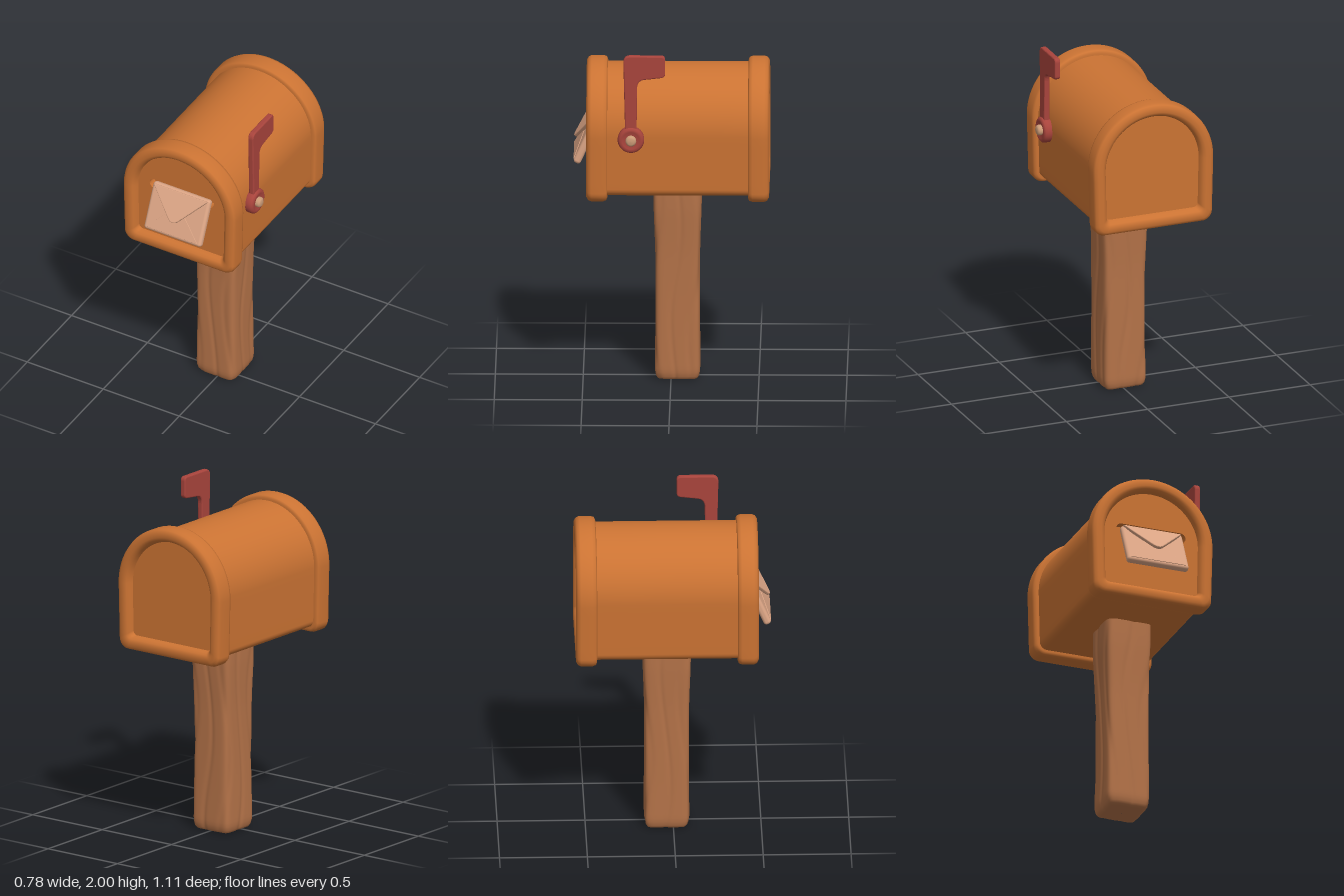
import * as THREE from 'three';
import { RoundedBoxGeometry } from 'three/addons/geometries/RoundedBoxGeometry.js';

const CX = -0.02; // centre line of the box
const ARCH_Y = 1.51; // height where the arch begins

const material = (name, color) => {
  const m = new THREE.MeshStandardMaterial({ color });
  m.name = name;
  return m;
};

function mesh(name, geometry, mat, parent) {
  const m = new THREE.Mesh(geometry, mat);
  m.name = name;
  parent.add(m);
  return m;
}

// Smooth skin through closed rings that all have the same number of points
function loft(rings) {
  const n = rings[0].length;
  const index = [];
  for (let i = 0; i < rings.length - 1; i++) {
    for (let j = 0; j < n; j++) {
      const k = (j + 1) % n;
      const a = i * n + j, b = i * n + k, c = (i + 1) * n + k, d = (i + 1) * n + j;
      index.push(a, b, c, a, c, d);
    }
  }
  const g = new THREE.BufferGeometry().setFromPoints(rings.flat());
  g.setIndex(index);
  g.computeVertexNormals();
  return g;
}

// Arched outline, anticlockwise, moved inward by an inset
function archOutline(inset) {
  const w = 0.37 - inset;
  const bottom = 1.12 + inset;
  const r = Math.max(0.06 - inset * 0.5, 0.025);
  const half = [];
  for (let i = 0; i <= 6; i++) half.push([(w - r) * i / 6.5, bottom]);
  for (let i = 0; i <= 8; i++) {
    const a = -Math.PI / 2 + i * Math.PI / 16;
    half.push([w - r + r * Math.cos(a), bottom + r + r * Math.sin(a)]);
  }
  for (let i = 1; i < 6; i++) half.push([w, bottom + r + (ARCH_Y - bottom - r) * i / 6]);
  for (let i = 0; i <= 20; i++) {
    const a = i * Math.PI / 40;
    half.push([w * Math.cos(a), ARCH_Y + w * Math.sin(a)]);
  }
  const mirrored = half.slice(1, -1).reverse().map(([x, y]) => [-x, y]);
  return [...half, ...mirrored].map(([x, y]) =>
    new THREE.Vector2(x * (1 - 0.07 * Math.max(0, ARCH_Y - y)), y));
}

const archRing = ([inset, z]) => archOutline(inset).map(p => new THREE.Vector3(p.x, p.y, z));

// Rounded end rim with its recessed panel, facing +z
function boxEnd(name, mat, withSlot) {
  const g = new THREE.Group();
  g.name = name;
  const profile = [
    [0.045, 0.362], [0.02, 0.36], [0.006, 0.367], [0, 0.385], [0, 0.452], [0.007, 0.469],
    [0.024, 0.48], [0.05, 0.48], [0.066, 0.473], [0.076, 0.458], [0.081, 0.442], [0.086, 0.425],
  ];
  mesh(name + 'Rim', loft(profile.map(archRing)), mat, g);
  const shape = new THREE.Shape(archOutline(0.08));
  if (withSlot) {
    const slot = new THREE.Path();
    slot.moveTo(-0.19, 1.52);
    slot.lineTo(0.19, 1.52);
    slot.absarc(0.18, 1.553, 0.032, -Math.PI / 2, Math.PI / 2, false);
    slot.lineTo(-0.18, 1.585);
    slot.absarc(-0.18, 1.553, 0.032, Math.PI / 2, Math.PI * 1.5, false);
    shape.holes.push(slot);
    const back = mesh('slotBack', new THREE.PlaneGeometry(0.5, 0.14), mat, g);
    back.position.set(0, 1.55, 0.385);
  }
  const panel = new THREE.ExtrudeGeometry(shape, { depth: 0.05, bevelEnabled: false });
  mesh(name + 'Panel', panel.translate(0, 0, 0.385), mat, g);
  return g;
}

// Square post with soft edges, a slight waist and wavy grain grooves
function postGeometry() {
  const levels = [[0.004, 0.01], [0.004, 0.75], [0.01, 0.88], [0.025, 0.95], [0.05, 0.99]];
  for (let i = 1; i <= 50; i++) levels.push([0.05 + 1.12 * i / 50, 1]);
  return loft(levels.map(([y, s]) => {
    const half = 0.13 - 0.004 * Math.sin(Math.PI * Math.min(y, 1)) + 0.007 * THREE.MathUtils.smoothstep(y, 0.7, 1.1);
    const ring = [];
    for (let j = 0; j < 128; j++) {
      const a = j / 128 * Math.PI * 2;
      const c = Math.cos(a), d = Math.sin(a);
      const square = Math.pow(Math.abs(c) ** 8 + Math.abs(d) ** 8, -1 / 8);
      const grain = Math.pow(Math.abs(Math.cos(a * 4 + 0.9 * Math.sin(y * 5 + a) + 0.3)), 10);
      const r = s * (half * square - 0.005 * grain);
      ring.push(new THREE.Vector3(-0.01 + r * c, y, -0.037 - r * d));
    }
    return ring;
  }));
}

// Softly bevelled triangle hanging from its top edge at the origin (or rising when h < 0)
function flapGeometry(w, h, depth, bevel) {
  const shape = new THREE.Shape();
  shape.moveTo(-w / 2, 0);
  shape.lineTo(-w * 0.09, -h * 0.88);
  shape.quadraticCurveTo(0, -h * 1.08, w * 0.09, -h * 0.88);
  shape.lineTo(w / 2, 0);
  shape.closePath();
  return new THREE.ExtrudeGeometry(shape, { depth, bevelThickness: bevel, bevelSize: bevel, bevelSegments: 3 });
}

function envelope(mat) {
  const g = new THREE.Group();
  g.name = 'envelope';
  mesh('envelopeBody', new RoundedBoxGeometry(0.375, 0.285, 0.044, 4, 0.018), mat, g);
  const flap = mesh('envelopeFlap', flapGeometry(0.34, 0.175, 0.008, 0.006), mat, g);
  flap.position.set(0, 0.128, 0.018);
  flap.rotation.x = -0.17;
  const fold = mesh('lowerFold', flapGeometry(0.33, -0.17, 0.002, 0.002), mat, g);
  fold.position.set(0, -0.125, 0.021);
  g.position.set(-0.018, 1.437, 0.48);
  g.rotation.x = -0.42;
  return g;
}

function flag(red, tan) {
  const g = new THREE.Group();
  g.name = 'flag';
  // Arm and plate drawn sideways, then turned to face +x
  const s = new THREE.Shape();
  s.moveTo(-0.249, 1.5);
  s.lineTo(-0.201, 1.5);
  s.lineTo(-0.198, 1.81);
  s.quadraticCurveTo(-0.195, 1.862, -0.15, 1.867);
  s.lineTo(-0.055, 1.878);
  s.quadraticCurveTo(-0.038, 1.88, -0.038, 1.895);
  s.lineTo(-0.038, 1.975);
  s.quadraticCurveTo(-0.038, 1.992, -0.055, 1.992);
  s.lineTo(-0.235, 1.992);
  s.quadraticCurveTo(-0.258, 1.99, -0.26, 1.965);
  s.closePath();
  const arm = new THREE.ExtrudeGeometry(s, {
    depth: 0.018, bevelThickness: 0.008, bevelSize: 0.008, bevelSegments: 3, curveSegments: 8,
  });
  mesh('flagArm', arm.rotateY(Math.PI / 2).translate(0.324, 0, 0), red, g);

  // Round hub and its pin, turned about the x axis
  const turned = pts => new THREE.LatheGeometry(pts.map(([r, x]) => new THREE.Vector2(r, x)), 40)
    .rotateZ(-Math.PI / 2).translate(0, 1.502, 0.225);
  mesh('flagHub', turned([[0, 0.305], [0.068, 0.305], [0.075, 0.315], [0.076, 0.34], [0.073, 0.355],
    [0.064, 0.363], [0.05, 0.364], [0.038, 0.357], [0, 0.357]]), red, g);
  mesh('flagPin', turned([[0.03, 0.345], [0.031, 0.37], [0.027, 0.38], [0.018, 0.385], [0, 0.386]]), tan, g);
  return g;
}

export function createModel() {
  const orange = material('orange paint', 0xcb7333);
  const wood = material('brown wood', 0xb37248);
  const paper = material('tan paper', 0xdca585);
  const red = material('red paint', 0xa8443c);
  const pin = material('tan metal', 0xcb9a76);

  const model = new THREE.Group();
  model.name = 'mailbox';

  // Box: arched shell and two matching ends
  const box = new THREE.Group();
  box.name = 'box';
  box.position.x = CX;
  model.add(box);
  const shell = [-0.46, -0.25, -0.04, 0.17, 0.38].map(z => archRing([0.032, z]));
  mesh('shell', loft(shell), orange, box);
  box.add(boxEnd('front', orange, true));
  const back = boxEnd('back', orange, false);
  back.rotation.y = Math.PI;
  back.position.z = -0.08;
  box.add(back);

  mesh('post', postGeometry(), wood, model);
  model.add(envelope(paper), flag(red, pin));
  return model;
}
